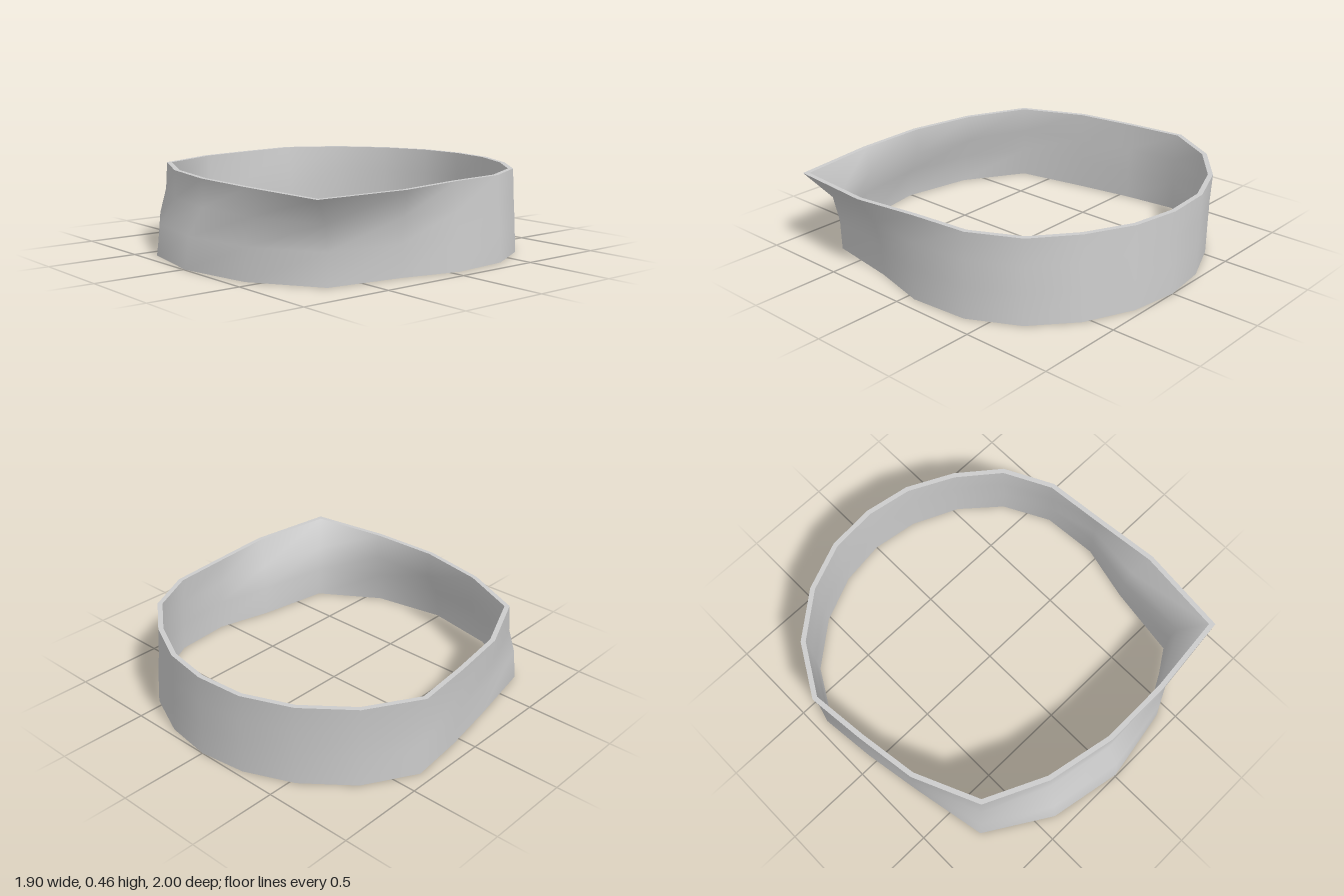
import * as THREE from 'three';

// Columns around the band, from the back past the model's right side (-x) to the front and on:
// bottom x, bottom z, top x, top z, bend at lower level, bend at upper level (0 = bottom, 1 = top)
const COLUMNS = [
  [0.0, -1.0, 0.0, -0.99, 0.4, 0.9],
  [-0.265, -0.965, -0.27, -0.97, 0.3, 0.6],
  [-0.53, -0.85, -0.54, -0.86, 0.2, 0.4],
  [-0.775, -0.65, -0.785, -0.66, 0.1, 0.3],
  [-0.935, -0.37, -0.955, -0.37, 0, 0.1],
  [-0.9, -0.05, -0.92, -0.04, 0.1, 0.4],
  [-0.845, 0.27, -0.87, 0.3, 0.2, 0.7],
  [-0.76, 0.7, -0.71, 0.66, 0.25, 0.85],
  [-0.4, 0.92, -0.365, 0.82, 0.22, 1],
  [0.01, 0.995, 0.02, 0.895, 0.22, 1.03],
  [0.43, 0.92, 0.42, 0.89, 0.3, 1.25],
  [0.78, 0.69, 0.895, 0.84, 0.02, 0.18],
  [0.845, 0.27, 0.945, 0.33, 0.06, 0.3],
  [0.925, -0.05, 0.905, -0.04, 0.3, 0.75],
  [0.9, -0.38, 0.875, -0.37, 0.3, 0.7],
  [0.76, -0.65, 0.74, -0.64, 0.3, 0.7],
  [0.54, -0.84, 0.515, -0.82, 0.3, 0.7],
  [0.27, -0.96, 0.26, -0.945, 0.3, 0.7],
];
const N = COLUMNS.length;
const LEVELS = [0, 0.17, 0.31, 0.46];
const WALL = 0.027;

// Outer ring of points at one level; the rim dips slightly at the flared corner
function outerRing(level) {
  const dip = { 10: 0.003, 11: 0.012, 12: 0.006 };
  return COLUMNS.map(([bx, bz, tx, tz, f1, f2], i) => {
    const f = [0, f1, f2, 1][level];
    const y = LEVELS[level] - (level === 3 ? dip[i] || 0 : 0);
    return new THREE.Vector3(bx + (tx - bx) * f, y, bz + (tz - bz) * f);
  });
}

// Ring moved inward by the wall thickness, mitred at the corners
function innerRing(ring) {
  const inward = (a, b) => new THREE.Vector3(b.z - a.z, 0, a.x - b.x).normalize();
  return ring.map((p, i) => {
    const n1 = inward(ring[(i + N - 1) % N], p);
    const n2 = inward(p, ring[(i + 1) % N]);
    const mitre = n1.clone().add(n2).multiplyScalar(WALL / (1 + n1.dot(n2)));
    return p.clone().add(mitre);
  });
}

// Closed smooth surface through a list of rings
function skin(name, rings, material) {
  const geometry = new THREE.BufferGeometry().setFromPoints(rings.flat());
  const index = [];
  for (let r = 0; r < rings.length - 1; r++) {
    for (let i = 0; i < N; i++) {
      const a = r * N + i, b = r * N + ((i + 1) % N);
      index.push(a, b, b + N, a, b + N, a + N);
    }
  }
  geometry.setIndex(index);
  geometry.computeVertexNormals();
  const mesh = new THREE.Mesh(geometry, material);
  mesh.name = name;
  return mesh;
}

export function createModel() {
  const group = new THREE.Group();
  group.name = 'band';
  const grey = new THREE.MeshStandardMaterial({ color: 0xcccccc });
  grey.name = 'light grey';

  const outer = LEVELS.map((_, level) => outerRing(level));
  const inner = outer.map(innerRing);

  group.add(
    skin('outerWall', outer, grey),
    skin('topRim', [outer[3], inner[3]], grey),
    skin('innerWall', [...inner].reverse(), grey),
    skin('bottomRim', [inner[0], outer[0]], grey),
  );
  return group;
}
